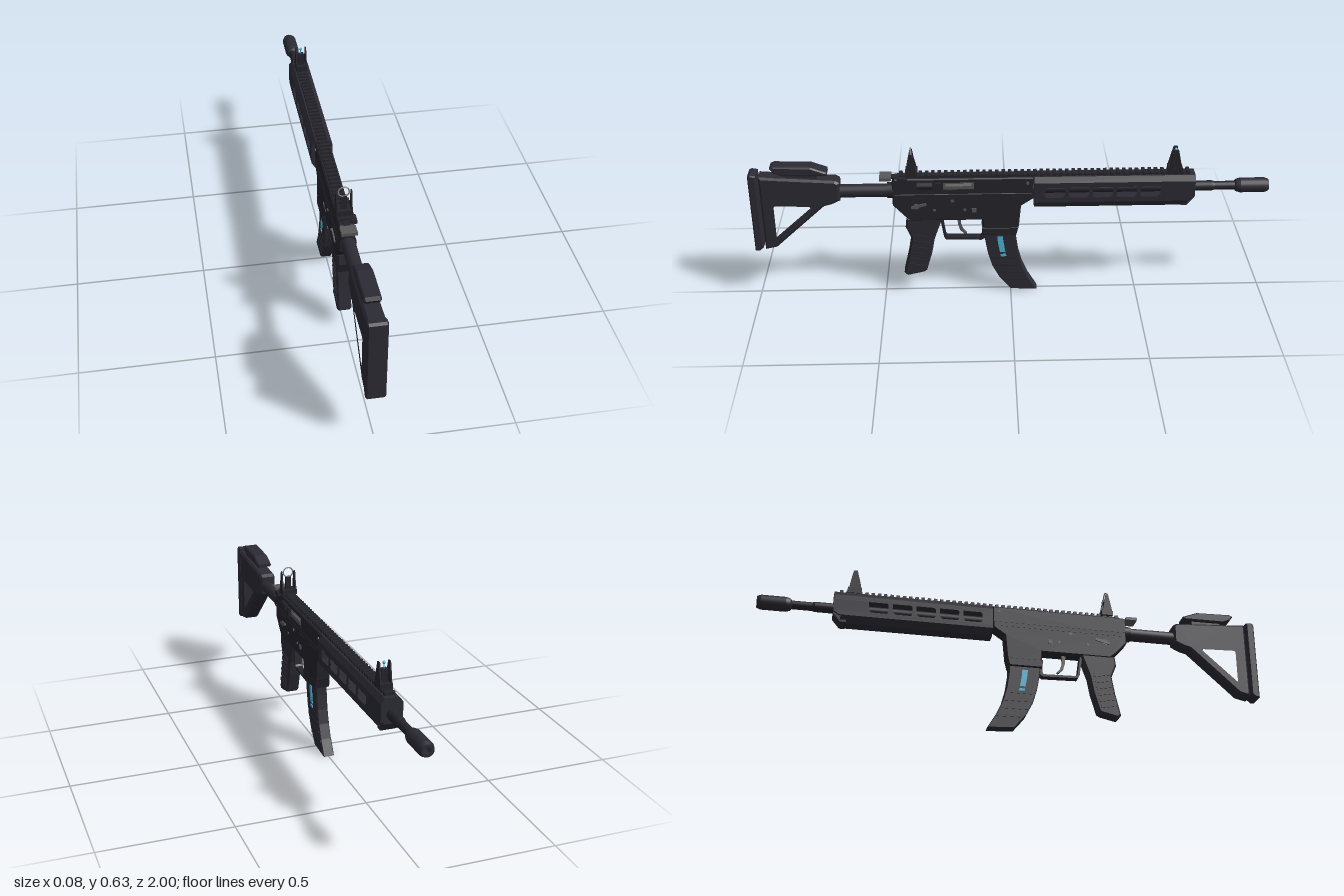
import * as THREE from 'three';

const mat = (name, color) => new THREE.MeshStandardMaterial({ name, color, flatShading: false });
const M = {
  body: mat('charcoal polymer', 0x2c2b34),
  metal: mat('black metal', 0x25242b),
  steel: mat('grey steel', 0x58585a),
  ring: mat('light steel', 0x85837f),
  glow: mat('cyan accent', 0x4fb8dc),
};

export function createModel() {
  const root = new THREE.Group();
  root.name = 'rifle';
  const add = (name, geo, m, x = 0, y = 0, z = 0, parent = root) => {
    const mesh = new THREE.Mesh(geo, m);
    mesh.name = name;
    mesh.position.set(x, y, z);
    parent.add(mesh);
    return mesh;
  };
  const box = (name, m, w, h, d, x, y, z) => add(name, new THREE.BoxGeometry(w, h, d), m, x, y, z);
  // side profile given as [z, y], extruded across x and centred on x
  const toV = (pts) => pts.map(([z, y]) => new THREE.Vector2(-z, y));
  const side = (name, m, pts, width, x = 0, bevel = 0, holes = []) => {
    const shape = new THREE.Shape(toV(pts));
    holes.forEach((h) => shape.holes.push(new THREE.Path(toV(h))));
    const geo = new THREE.ExtrudeGeometry(shape, {
      depth: width - 2 * bevel, bevelEnabled: bevel > 0, bevelThickness: bevel,
      bevelSize: bevel, bevelOffset: -bevel, bevelSegments: 1,
    });
    geo.translate(0, 0, -width / 2 + bevel);
    geo.rotateY(Math.PI / 2);
    return add(name, geo, m, x);
  };
  // cross-section given as [x, y], extruded along z
  const along = (name, m, pts, z0, z1) => {
    const geo = new THREE.ExtrudeGeometry(new THREE.Shape(pts.map((p) => new THREE.Vector2(...p))),
      { depth: z1 - z0, bevelEnabled: false });
    return add(name, geo, m, 0, 0, z0);
  };
  // solid of revolution along z, profile as [radius, z] with z falling
  const lathe = (name, m, pts, y, seg = 20) => {
    const group = new THREE.Group();
    group.name = name;
    group.position.y = y;
    for (let i = 0; i < pts.length - 1; i++) {
      const [ra, za] = pts[i], [rb, zb] = pts[i + 1];
      const geo = new THREE.LatheGeometry([new THREE.Vector2(ra, -za), new THREE.Vector2(rb, -zb)], seg);
      geo.rotateX(-Math.PI / 2);
      add(name + 'Section', geo, m, 0, 0, 0, group);
    }
    root.add(group);
  };
  const AXIS = 0.453;

  // shoulder stock
  side('stockBody', M.body, [[0.96, 0.53], [0.9, 0.525], [0.67, 0.51], [0.655, 0.5], [0.655, 0.425],
    [0.69, 0.408], [0.72, 0.4], [0.915, 0.222], [0.96, 0.212]], 0.066, 0, 0.008,
  [[[0.92, 0.405], [0.91, 0.415], [0.77, 0.41], [0.76, 0.395], [0.908, 0.262], [0.92, 0.268]]]);
  side('buttPad', M.body, [[1, 0.21], [1, 0.535], [0.99, 0.541], [0.967, 0.537], [0.967, 0.222], [0.985, 0.207]], 0.071, 0, 0.005);
  side('cheekRest', M.body, [[0.915, 0.566], [0.9, 0.572], [0.76, 0.568], [0.7, 0.545], [0.7, 0.532],
    [0.87, 0.533], [0.9, 0.545]], 0.06, 0, 0.005);
  box('cheekRestMount', M.body, 0.03, 0.03, 0.12, 0, 0.527, 0.8);
  lathe('bufferTube', M.body, [[0, 0.72], [0.026, 0.72], [0.026, 0.44], [0, 0.44]], AXIS);
  lathe('tubeNut', M.metal, [[0.02, 0.475], [0.031, 0.475], [0.031, 0.45]], AXIS);

  // receiver
  side('upperReceiver', M.metal, [[0.455, 0.5], [0.445, 0.512], [-0.088, 0.512], [-0.088, 0.42], [0.455, 0.42]], 0.056, 0, 0.004);
  side('lowerReceiver', M.metal, [[0.455, 0.45], [0.455, 0.4], [0.405, 0.345], [0.385, 0.33], [0.11, 0.33], [0.105, 0.268],
    [-0.02, 0.268], [-0.032, 0.3], [-0.04, 0.39], [-0.085, 0.42], [-0.085, 0.45]], 0.06, 0, 0.005);
  side('magazineWellRim', M.metal, [[0.113, 0.295], [0.108, 0.262], [-0.022, 0.262], [-0.03, 0.295]], 0.063, 0, 0.003);
  box('chargingHandle', M.steel, 0.058, 0.012, 0.045, 0, 0.513, 0.48);
  box('chargingLatch', M.metal, 0.022, 0.014, 0.04, 0.029, 0.512, 0.415);
  box('handleStem', M.metal, 0.024, 0.01, 0.05, 0, 0.512, 0.44);

  // right-hand and left-hand receiver fittings
  box('ejectionPort', M.steel, 0.006, 0.027, 0.118, 0.027, 0.482, 0.2);
  box('ejectionPortBolt', M.ring, 0.002, 0.01, 0.1, 0.0305, 0.487, 0.2);
  box('portCover', M.metal, 0.008, 0.008, 0.125, 0.029, 0.462, 0.2);
  side('shellDeflector', M.metal, [[0.29, 0.497], [0.265, 0.497], [0.265, 0.455], [0.28, 0.46]], 0.014, 0.032);
  const assist = add('forwardAssist', new THREE.CylinderGeometry(0.014, 0.014, 0.06, 12), M.metal, 0.029, 0.485, 0.33);
  assist.rotation.x = Math.PI / 2;
  for (const s of [1, -1]) {
    const pin = (z, y, r) => {
      const p = add('receiverPin', new THREE.CylinderGeometry(r, r, 0.006, 10), M.steel, s * 0.0295, y, z);
      p.rotation.z = Math.PI / 2;
    };
    pin(0.225, 0.418, 0.007);
    pin(0.178, 0.378, 0.006);
    pin(0.295, 0.378, 0.006);
    pin(0.365, 0.395, 0.012);
    pin(-0.065, 0.49, 0.006);
    const lever = box('fireSelector', M.steel, 0.006, 0.011, 0.06, s * 0.032, 0.398, 0.355);
    lever.rotation.x = 0.25;
    box('magazineRelease', M.steel, 0.007, 0.018, 0.018, s * 0.03, 0.376, 0.142);
    box('receiverSeam', M.metal, 0.002, 0.004, 0.5, s * 0.0302, 0.43, 0.18);
  }

  // pistol grip with ribs
  side('pistolGrip', M.body, [[0.405, 0.34], [0.265, 0.34], [0.275, 0.31], [0.298, 0.245], [0.31, 0.18], [0.333, 0.1],
    [0.345, 0.092], [0.41, 0.077], [0.423, 0.09], [0.402, 0.18], [0.39, 0.25], [0.41, 0.3]], 0.054, 0, 0.007);
  for (let i = 0; i < 6; i++) {
    const y = 0.125 + i * 0.026;
    const rib = box('gripRib', M.body, 0.06, 0.014, 0.064, 0, y, 0.374 - i * 0.0055);
    rib.rotation.x = -0.2;
  }

  // trigger and guard
  side('triggerGuard', M.metal, [[0.275, 0.335], [0.262, 0.25], [0.255, 0.236], [0.115, 0.232], [0.1, 0.24], [0.1, 0.335]], 0.03, 0, 0,
    [[[0.265, 0.33], [0.254, 0.252], [0.248, 0.245], [0.118, 0.242], [0.112, 0.25], [0.112, 0.33]]]);
  side('trigger', M.steel, [[0.208, 0.335], [0.192, 0.335], [0.195, 0.3], [0.187, 0.275], [0.172, 0.258],
    [0.179, 0.255], [0.198, 0.273], [0.206, 0.3]], 0.014);

  // curved magazine: matching rear and front edges
  const rear = [[0.103, 0.28], [0.1, 0.23], [0.089, 0.17], [0.073, 0.115], [0.045, 0.06], [0, 0.005]];
  const front = [[-0.02, 0.28], [-0.022, 0.23], [-0.031, 0.17], [-0.046, 0.115], [-0.07, 0.06], [-0.105, 0]];
  const magWidth = 0.044;
  side('magazine', M.body, [...rear, ...[...front].reverse()], magWidth, 0, 0.003);
  // point on the magazine's side: u from rear to front, v along the curve
  const magPoint = (u, v) => {
    const i = Math.min(Math.floor(v), 4), t = v - i;
    const at = (e, k) => e[i][k] + (e[i + 1][k] - e[i][k]) * t;
    return [0, 1].map((k) => at(rear, k) * (1 - u) + at(front, k) * u);
  };
  const magStrip = (name, m, u0, u1, v0, v1, width) => {
    const pts = [];
    for (let i = 0; i <= 4; i++) pts.push(magPoint(u0, v0 + (v1 - v0) * i / 4));
    for (let i = 4; i >= 0; i--) pts.push(magPoint(u1, v0 + (v1 - v0) * i / 4));
    side(name, m, pts, width);
  };
  for (const v of [2.3, 2.9, 3.5, 4.1]) magStrip('magazineRib', M.metal, 0.06, 0.94, v, v + 0.09, magWidth + 0.004);
  magStrip('magazineLevelWindow', M.glow, 0.4, 0.58, 0.62, 1.85, magWidth + 0.006);
  magStrip('magazineLevelMark', M.glow, 0.4, 0.58, 2.0, 2.18, magWidth + 0.006);

  // handguard: roof, floor, slotted side plates, end caps
  const Z0 = -0.71, Z1 = -0.09;
  along('handguardTop', M.body, [[-0.026, 0.514], [-0.041, 0.494], [-0.041, 0.476], [0.041, 0.476], [0.041, 0.494], [0.026, 0.514]], Z0, Z1);
  along('handguardBottom', M.body, [[-0.024, 0.383], [0.024, 0.383], [0.041, 0.41], [0.041, 0.424], [-0.041, 0.424], [-0.041, 0.41]], -0.682, Z1);
  const slots = [];
  for (let i = 0; i < 5; i++) {
    const a = -0.132 - i * 0.092, b = a - 0.076;
    slots.push([[a, 0.436], [a, 0.468], [a - 0.006, 0.474], [b, 0.474], [b, 0.442], [b + 0.01, 0.43], [a - 0.006, 0.43]]);
  }
  const cheek = [[Z1, 0.412], [Z1, 0.492], [Z0, 0.492], [Z0, 0.425], [-0.69, 0.412]];
  for (const s of [1, -1]) side('handguardSide', M.body, cheek, 0.01, s * 0.036, 0, slots);
  const capShape = [[-0.024, 0.385], [0.024, 0.385], [0.04, 0.41], [0.04, 0.48], [-0.04, 0.48], [-0.04, 0.41]];
  along('handguardRearCap', M.body, capShape, Z1 - 0.015, Z1);
  side('handguardNose', M.body, [[-0.66, 0.385], [-0.66, 0.48], [Z0, 0.48], [Z0, 0.418], [-0.682, 0.384]], 0.062);

  // top rail teeth
  box('railBase', M.metal, 0.03, 0.01, 1.12, 0, 0.514, -0.125);
  for (let z = 0.42; z > -0.69; z -= 0.0245) box('railTooth', M.metal, 0.04, 0.012, 0.013, 0, 0.52, z);

  // barrel and muzzle device
  lathe('barrel', M.metal, [[0.02, -0.08], [0.02, -0.78], [0.017, -0.79], [0.017, -0.9]], AXIS);
  lathe('muzzleDevice', M.body, [[0.016, -0.868], [0.024, -0.873], [0.029, -0.89], [0.029, -0.985], [0.023, -1],
    [0.012, -1], [0.012, -0.96], [0, -0.96]], AXIS);

  // rear aperture sight
  box('rearSightBase', M.metal, 0.06, 0.02, 0.045, 0, 0.53, 0.38);
  box('rearSightStem', M.metal, 0.022, 0.055, 0.014, 0, 0.565, 0.38);
  for (const s of [1, -1]) side('rearSightWing', M.metal, [[0.402, 0.53], [0.358, 0.53], [0.37, 0.58], [0.376, 0.616], [0.384, 0.616], [0.392, 0.58]], 0.005, s * 0.027);
  add('rearSightRing', new THREE.TorusGeometry(0.02, 0.0027, 8, 28), M.ring, 0, 0.6105, 0.38);

  // front post sight
  box('frontSightBase', M.metal, 0.046, 0.024, 0.055, 0, 0.53, -0.632);
  box('frontSightStem', M.metal, 0.024, 0.055, 0.02, 0, 0.563, -0.632);
  for (const s of [1, -1]) side('frontSightWing', M.metal, [[-0.606, 0.535], [-0.656, 0.535], [-0.648, 0.58], [-0.64, 0.617], [-0.626, 0.617], [-0.616, 0.58]], 0.005, s * 0.02);
  add('frontSightPost', new THREE.CylinderGeometry(0.002, 0.002, 0.025, 8), M.glow, 0, 0.6, -0.632);
  add('frontSightBead', new THREE.SphereGeometry(0.006, 12, 8), M.glow, 0, 0.612, -0.632);

  // slight sideways shift that centres the whole outline
  root.children.forEach((c) => { c.position.x -= 0.0015; });
  return root;
}
